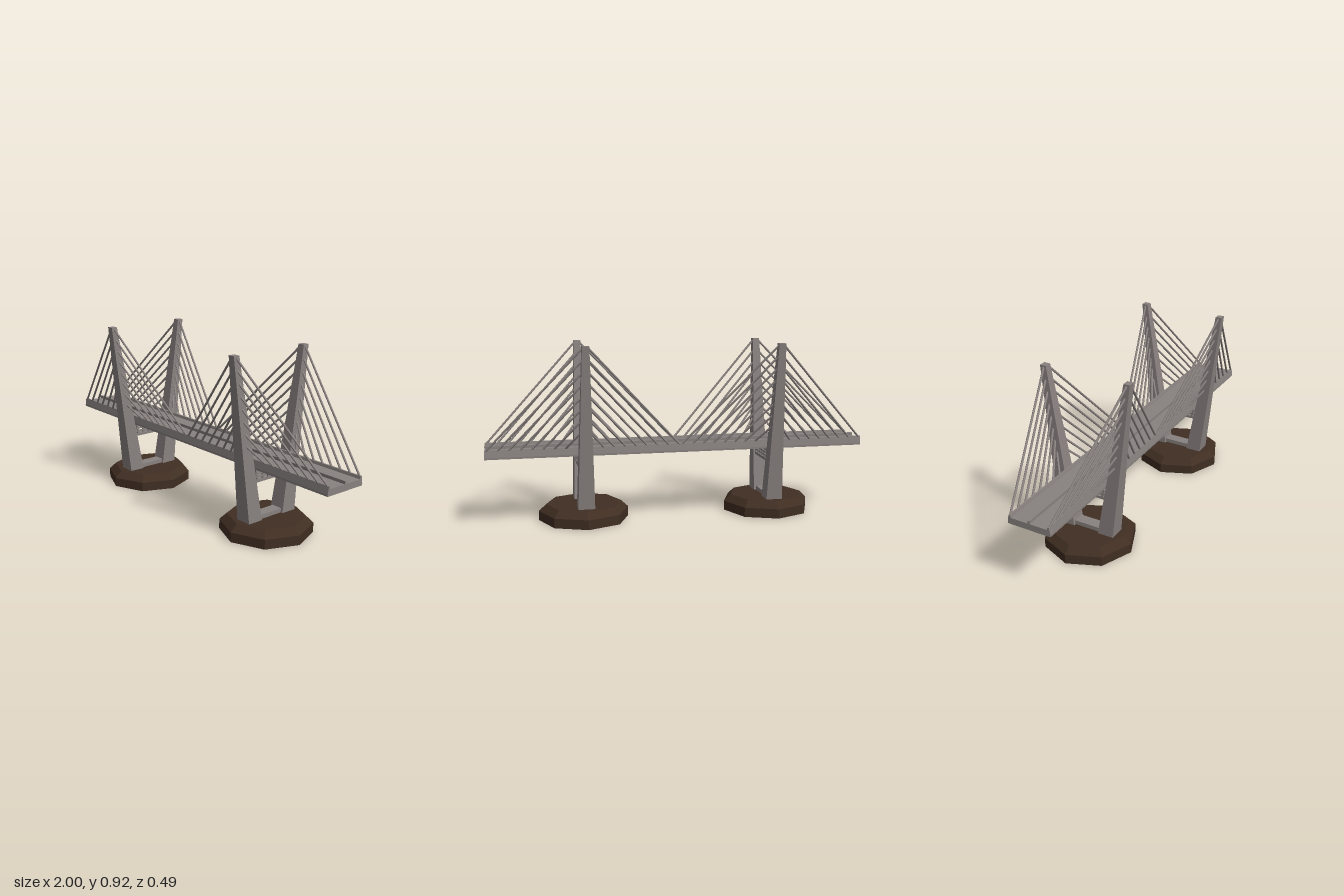
import * as THREE from 'three';

const concrete = new THREE.MeshStandardMaterial({ color: 0x88817f });
concrete.name = 'grey concrete';
const earth = new THREE.MeshStandardMaterial({ color: 0x402e22 });
earth.name = 'dark brown';
concrete.flatShading = earth.flatShading = true;

const BASE_TOP = 0.085, TOWER_TOP = 0.92;
const lerp = THREE.MathUtils.lerp;
const heightRatio = (y) => (y - BASE_TOP) / (TOWER_TOP - BASE_TOP);
// inner and outer edge of a leaning leg, and its half thickness, at height y
const innerZ = (y) => lerp(0.07, 0.21, heightRatio(y));
const outerZ = (y) => lerp(0.155, 0.243, heightRatio(y));
const halfX = (y) => lerp(0.043, 0.018, heightRatio(y));

function add(parent, name, geometry, material, x = 0, y = 0, z = 0) {
  const mesh = new THREE.Mesh(geometry, material);
  mesh.name = name;
  mesh.position.set(x, y, z);
  parent.add(mesh);
  return mesh;
}

// round cable between two points
function addCable(parent, from, to) {
  const dir = new THREE.Vector3().subVectors(to, from);
  const mesh = add(parent, 'stayCable', new THREE.CylinderGeometry(0.0055, 0.0055, dir.length(), 8), concrete);
  mesh.position.addVectors(from, to).multiplyScalar(0.5);
  mesh.quaternion.setFromUnitVectors(new THREE.Vector3(0, 1, 0), dir.normalize());
}

// box reshaped into a tapering, outward leaning leg
function legGeometry(side) {
  const g = new THREE.BoxGeometry(1, 1, 1);
  const p = g.attributes.position;
  for (let i = 0; i < p.count; i++) {
    const y = p.getY(i) > 0 ? TOWER_TOP : BASE_TOP - 0.005;
    const mid = (innerZ(y) + outerZ(y)) / 2, width = outerZ(y) - innerZ(y);
    p.setXYZ(i, p.getX(i) * 2 * halfX(y), y, side * mid + p.getZ(i) * width);
  }
  g.computeVertexNormals();
  return g;
}

function addLattice(parent, x) {
  const lattice = new THREE.Group();
  lattice.name = 'latticePanel';
  lattice.position.x = x;
  parent.add(lattice);
  for (const y of [0.312, 0.328, 0.346]) {
    add(lattice, 'latticeRail', new THREE.BoxGeometry(0.008, 0.007, 0.21), concrete, 0, y, 0);
  }
  for (const z of [-0.095, -0.057, -0.019, 0.019, 0.057, 0.095]) {
    const post = add(lattice, 'latticePost', new THREE.BoxGeometry(0.008, 0.066, 0.009), concrete, 0, 0.323, z);
    post.rotation.x = z * 2;
  }
}

function createTower() {
  const tower = new THREE.Group();
  // octagonal footing with a sloping shoulder
  add(tower, 'footing', new THREE.CylinderGeometry(0.235, 0.235, 0.05, 8, 1), earth, 0, 0.025, 0);
  add(tower, 'footingShoulder', new THREE.CylinderGeometry(0.197, 0.235, 0.035, 8, 1), earth, 0, 0.0675, 0);

  // cross members between the legs
  add(tower, 'lowerCrossBeam', new THREE.BoxGeometry(0.06, 0.026, 0.15), concrete, 0, 0.094, 0);
  add(tower, 'upperCrossBeam', new THREE.BoxGeometry(0.06, 0.014, 0.21), concrete, 0, 0.29, 0);
  for (const x of [-0.026, 0.026]) addLattice(tower, x);

  for (const side of [-1, 1]) {
    add(tower, 'towerLeg', legGeometry(side), concrete);
    // harp of parallel stays running both ways from the leg
    for (const dir of [-1, 1]) {
      for (let k = 0; k < 8; k++) {
        const y = 0.912 - k * 0.0617;
        const z = side * (innerZ(y) + outerZ(y)) / 2;
        addCable(tower,
          new THREE.Vector3(dir * (halfX(y) - 0.006), y, z),
          new THREE.Vector3(dir * (0.493 - k * 0.0565), 0.396, side * 0.105));
      }
    }
  }
  return tower;
}

// deck cross-section with raised kerbs, swept along x
function deckGeometry() {
  const half = [[0.115, 0.355], [0.115, 0.365], [0.109, 0.402], [0.1, 0.402], [0.097, 0.388]];
  const points = [...half, ...half.map(([z, y]) => [-z, y]).reverse()];
  const shape = new THREE.Shape(points.map(([z, y]) => new THREE.Vector2(z, y)));
  const g = new THREE.ExtrudeGeometry(shape, { depth: 2, bevelEnabled: false });
  g.translate(0, 0, -1);
  g.rotateY(Math.PI / 2);
  return g;
}

export function createModel() {
  const model = new THREE.Group();
  model.name = 'cableStayedBridge';
  add(model, 'deck', deckGeometry(), concrete);
  add(model, 'medianBarrier', new THREE.BoxGeometry(2, 0.018, 0.01), concrete, 0, 0.394, 0);
  for (const x of [-0.5, 0.5]) {
    const tower = createTower();
    tower.name = x < 0 ? 'rightTower' : 'leftTower';
    tower.position.x = x;
    model.add(tower);
  }
  return model;
}
